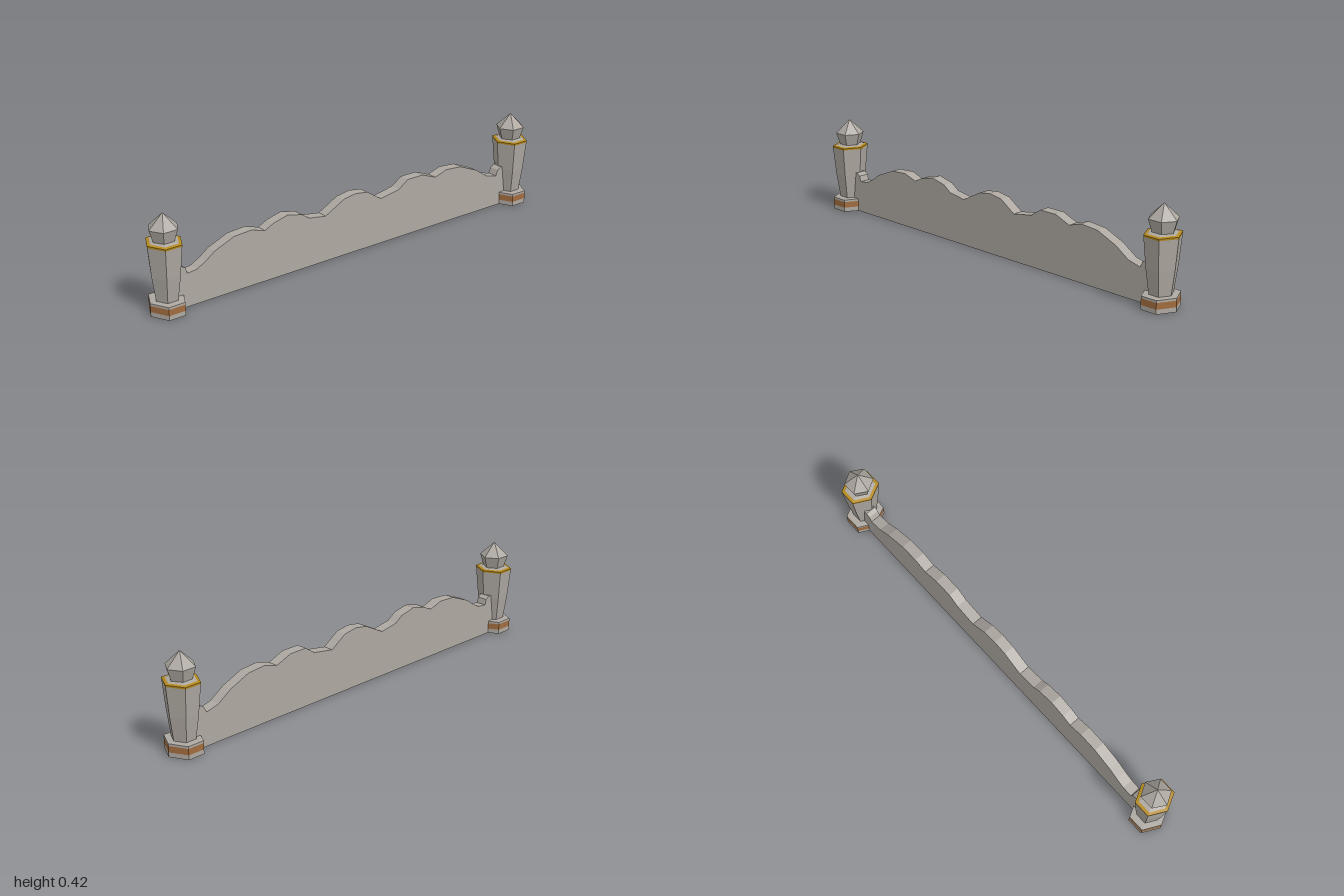
import * as THREE from 'three';

export function createModel() {
  const mat = (name, color, side = THREE.FrontSide) => {
    const m = new THREE.MeshStandardMaterial({ color, side, flatShading: true });
    m.name = name;
    return m;
  };
  const stone = mat('stone', 0xaea8a1, THREE.DoubleSide);
  const bronze = mat('bronze', 0xa06c3e, THREE.DoubleSide);
  const gold = mat('gold', 0xb58a1e, THREE.DoubleSide);

  const model = new THREE.Group();
  model.name = 'fence';

  // Six-sided turned part from [radius, height] pairs, with a corner pointing along x
  const hex = (name, material, profile, depth = 1) => {
    const pts = profile.map(([r, y]) => new THREE.Vector2(r, y));
    const geo = new THREE.LatheGeometry(pts, 6, Math.PI / 2);
    geo.scale(1, 1, depth);
    const mesh = new THREE.Mesh(geo, material);
    mesh.name = name;
    return mesh;
  };

  // Posts
  for (const side of [-1, 1]) {
    const post = new THREE.Group();
    post.name = side > 0 ? 'leftPost' : 'rightPost';
    post.position.x = side * 0.924;
    post.add(
      // hollow base with a bronze band
      hex('baseFoot', stone, [[0.076, 0], [0.076, 0.02]], 1.155),
      hex('baseBand', bronze, [[0.076, 0.02], [0.076, 0.047]], 1.155),
      hex('baseTop', stone, [[0.076, 0.047], [0.076, 0.057], [0.045, 0.059]], 1.155),
      // flaring shaft
      hex('shaft', stone, [[0, 0.055], [0.048, 0.055], [0.063, 0.165], [0.075, 0.294]], 1.12),
      // gold rim and the stone collar inside it
      hex('rim', gold, [[0.075, 0.294], [0.076, 0.302], [0.062, 0.305]], 1.12),
      hex('collar', stone, [[0.062, 0.305], [0.044, 0.31]], 1.12),
      // pointed finial
      hex('finial', stone, [[0.047, 0.308], [0.064, 0.362], [0, 0.423]]),
    );
    model.add(post);
  }

  // Wall panel with a scalloped top edge, left to right
  const top = [
    [-0.9, 0.18], [-0.86, 0.182], [-0.842, 0.17], [-0.835, 0.145], [-0.79, 0.15],
    [-0.75, 0.171], [-0.705, 0.203], [-0.61, 0.241], [-0.525, 0.246], [-0.46, 0.225],
    [-0.417, 0.246], [-0.347, 0.263], [-0.273, 0.246], [-0.235, 0.22], [-0.15, 0.206],
    [-0.053, 0.257], [0.01, 0.267], [0.075, 0.257], [0.15, 0.208], [0.25, 0.225],
    [0.3, 0.259], [0.385, 0.259], [0.46, 0.23], [0.524, 0.25], [0.61, 0.243],
    [0.706, 0.203], [0.77, 0.16], [0.83, 0.145], [0.842, 0.17], [0.86, 0.182], [0.9, 0.18],
  ];
  const outline = new THREE.Shape();
  outline.moveTo(0.9, 0);
  [...top].reverse().forEach(([x, y]) => outline.lineTo(x, y));
  outline.lineTo(-0.9, 0);
  outline.closePath();
  const wall = new THREE.Mesh(
    new THREE.ExtrudeGeometry(outline, { depth: 0.048, bevelEnabled: false }), stone);
  wall.name = 'wall';
  wall.position.z = -0.031;
  model.add(wall);

  return model;
}
